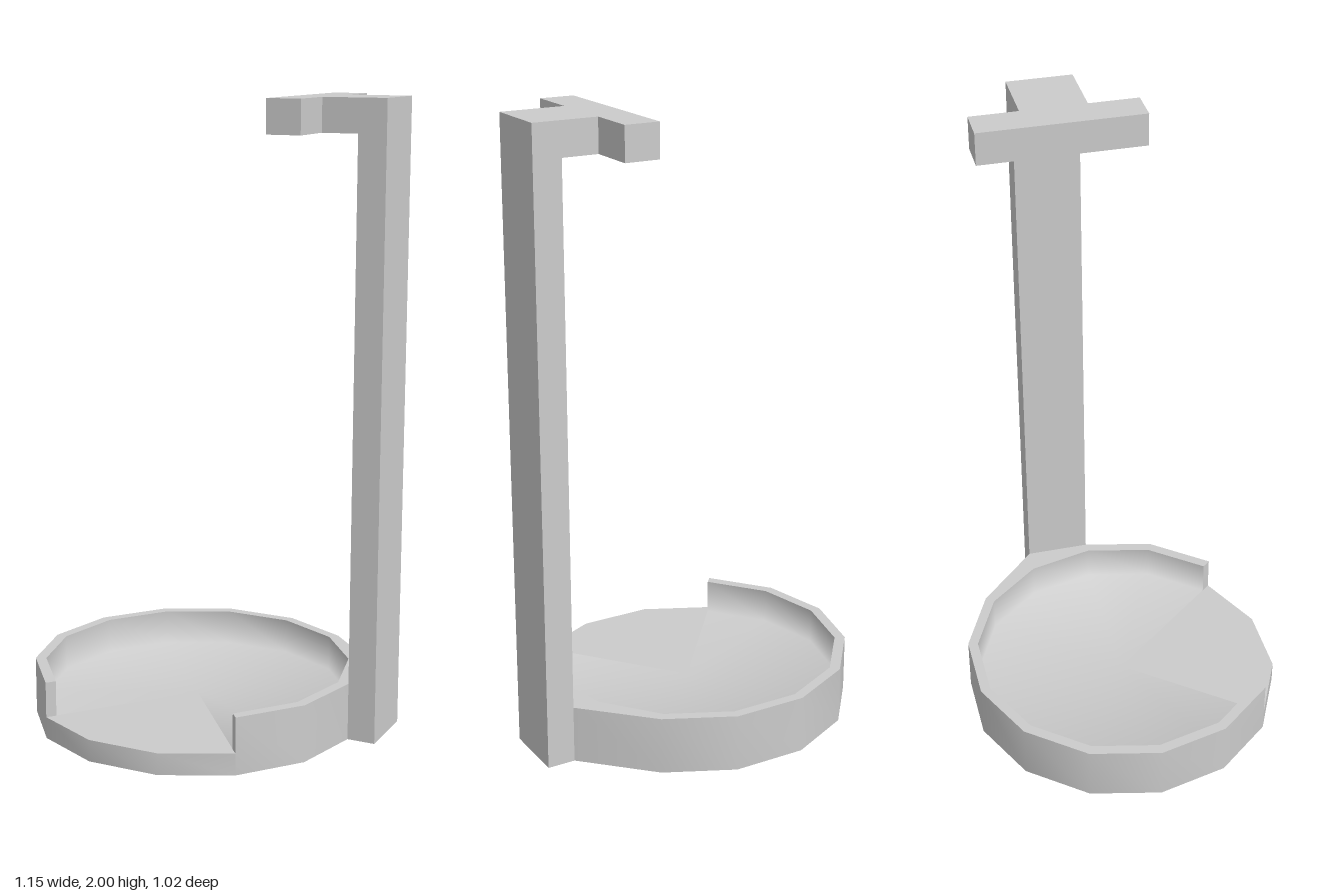
import * as THREE from 'three';
import { mergeVertices, toCreasedNormals } from 'three/addons/utils/BufferGeometryUtils.js';

const SIDES = 14, CENTRE_X = -0.045, RIM_Y = 0.185, FLOOR_Y = 0.07;
const GAP_START = 2, GAP_END = 5; // rim corners on either side of the front opening
const POST = { x0: 0.485, x1: 0.575, z0: -0.21, z1: 0 };
const HEAD_Y = 1.895;

const inGap = (k) => k >= GAP_START && k < GAP_END;
const quad = (out, a, b, c, d) => out.push(...a, ...b, ...c, ...a, ...c, ...d);

// Corner of the dish polygon; the outer corner beside the post is pulled out to meet it
function corner(k, y, rx, rz) {
  const a = (k % SIDES) / SIDES * Math.PI * 2;
  return [CENTRE_X + rx * Math.cos(a), y, rz * Math.sin(a)];
}
const outer = (k, y) => k % SIDES === SIDES - 1 ? [POST.x0, y, POST.z0] : corner(k, y, 0.53, 0.523);
const inner = (k, y) => corner(k, y, 0.495, 0.49);

function geometryFrom(points) {
  const g = new THREE.BufferGeometry();
  g.setAttribute('position', new THREE.Float32BufferAttribute(points, 3));
  return g;
}

// Outside wall, underside, rim and the two ends of the rim
function dishShell() {
  const p = [];
  for (let k = 0; k < SIDES; k++) {
    const top = inGap(k) ? FLOOR_Y : RIM_Y;
    quad(p, outer(k, 0), outer(k, top), outer(k + 1, top), outer(k + 1, 0));
    p.push(CENTRE_X, 0, 0, ...outer(k, 0), ...outer(k + 1, 0));
    if (!inGap(k)) quad(p, inner(k, top), inner(k + 1, top), outer(k + 1, top), outer(k, top));
  }
  const s = GAP_START, e = GAP_END;
  quad(p, inner(s, FLOOR_Y), outer(s, FLOOR_Y), outer(s, RIM_Y), inner(s, RIM_Y));
  quad(p, outer(e, FLOOR_Y), inner(e, FLOOR_Y), inner(e, RIM_Y), outer(e, RIM_Y));
  return toCreasedNormals(geometryFrom(p), 0.6);
}

// Floor and inside wall, shaded smoothly into each other
function dishInside() {
  const p = [], edge = [];
  for (let k = 0; k < SIDES; k++) {
    if (k <= GAP_START || k >= GAP_END) {
      if (k === GAP_END) edge.push(outer(k, FLOOR_Y));
      edge.push(inner(k, FLOOR_Y));
      if (k === GAP_START) edge.push(outer(k, FLOOR_Y));
    } else edge.push(outer(k, FLOOR_Y));
    if (!inGap(k)) quad(p, inner(k + 1, FLOOR_Y), inner(k + 1, RIM_Y), inner(k, RIM_Y), inner(k, FLOOR_Y));
  }
  edge.forEach((a, i) => p.push(CENTRE_X, FLOOR_Y, 0, ...edge[(i + 1) % edge.length], ...a));
  const g = mergeVertices(geometryFrom(p), 1e-4);
  g.computeVertexNormals();
  return g;
}

// T-shaped hanger: a short arm from the post ending in a crossbar
function hanger() {
  const outline = [
    [POST.x1, POST.z0], [POST.x1, POST.z1], [0.37, POST.z1], [0.37, 0.16],
    [0.26, 0.16], [0.26, -0.365], [0.37, -0.365], [0.37, POST.z0],
  ].map(([x, z]) => new THREE.Vector2(x, z));
  const g = new THREE.ExtrudeGeometry(new THREE.Shape(outline), { depth: 2 - HEAD_Y, bevelEnabled: false });
  return g.rotateX(Math.PI / 2).translate(0, 2, 0);
}

export function createModel() {
  const model = new THREE.Group();
  model.name = 'hangerStand';
  const material = new THREE.MeshStandardMaterial({ color: 0xcccccc });
  const add = (name, geometry, parent = model) => {
    const mesh = new THREE.Mesh(geometry, material);
    mesh.name = name;
    parent.add(mesh);
  };

  // Shallow tray base
  const tray = new THREE.Group();
  tray.name = 'tray';
  model.add(tray);
  add('trayShell', dishShell(), tray);
  add('trayInside', dishInside(), tray);

  // Upright post and hanger
  const post = new THREE.BoxGeometry(POST.x1 - POST.x0, HEAD_Y, POST.z1 - POST.z0);
  post.translate((POST.x0 + POST.x1) / 2, HEAD_Y / 2, (POST.z0 + POST.z1) / 2);
  add('post', post);
  add('hanger', hanger());
  return model;
}
